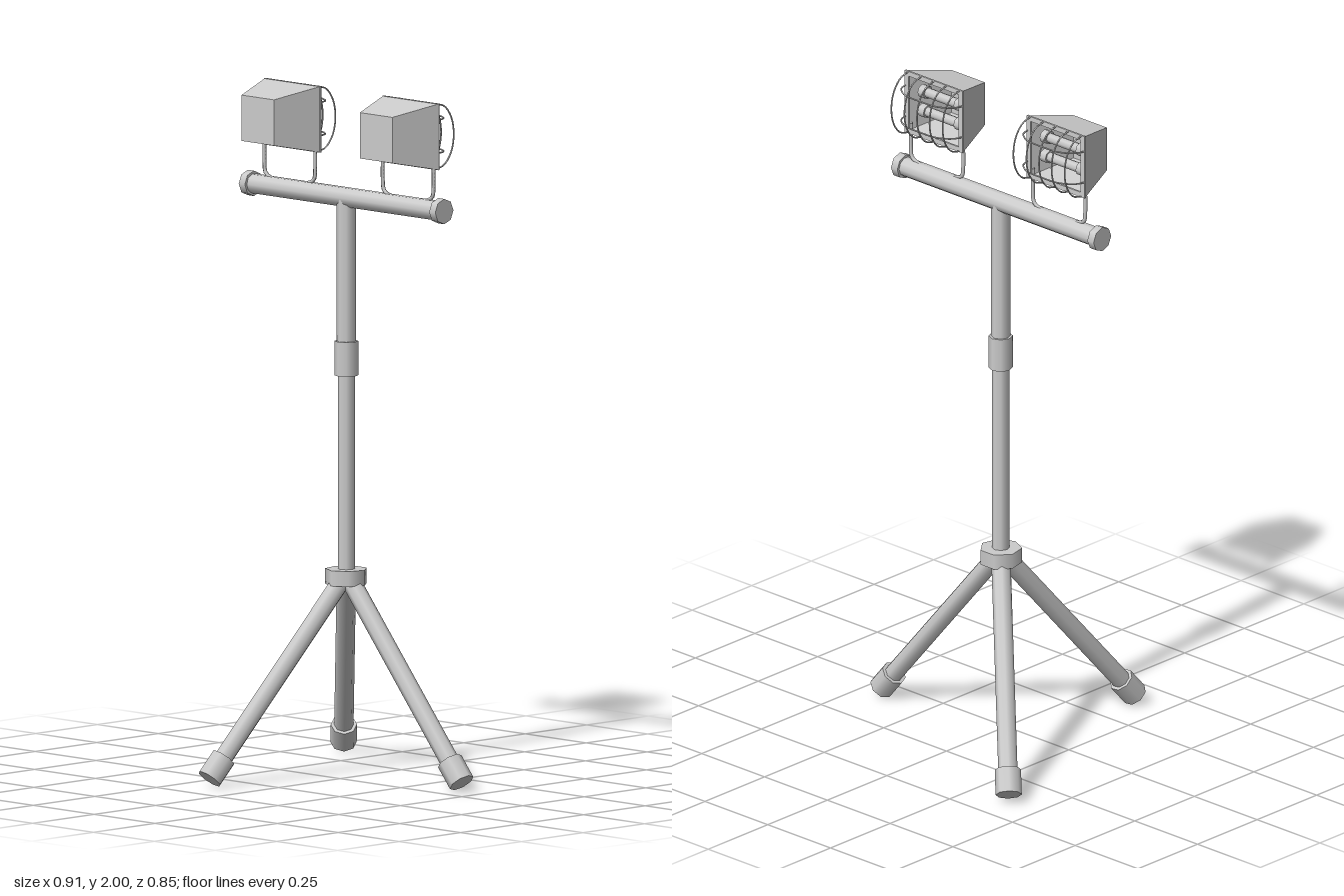
import * as THREE from 'three';

const material = new THREE.MeshStandardMaterial({ color: 0xcccccc, side: THREE.DoubleSide });
const V = (x, y, z) => new THREE.Vector3(x, y, z);

function add(parent, name, geometry) {
  const mesh = new THREE.Mesh(geometry, material);
  mesh.name = name;
  parent.add(mesh);
  return mesh;
}

// Low-sided round bar between two points
function rod(parent, name, a, b, radius, sides = 8) {
  const dir = b.clone().sub(a);
  const mesh = add(parent, name, new THREE.CylinderGeometry(radius, radius, dir.length(), sides));
  mesh.position.copy(a).add(b).multiplyScalar(0.5);
  mesh.quaternion.setFromUnitVectors(V(0, 1, 0), dir.normalize());
  return mesh;
}

// Thin bent wire through a few points
function wire(parent, name, points, radius, segments = 20) {
  const curve = new THREE.CatmullRomCurve3(points, false, 'centripetal');
  return add(parent, name, new THREE.TubeGeometry(curve, segments, radius, 5));
}

// Tapered lamp box, open at the back (-z)
function housingGeometry() {
  const g = new THREE.BoxGeometry(0.23, 0.194, 0.145);
  const p = g.attributes.position;
  for (let i = 0; i < p.count; i++) {
    if (p.getZ(i) > 0) p.setXY(i, p.getX(i) * 0.58, p.getY(i) * 0.69);
  }
  g.setIndex(Array.from(g.index.array).slice(0, 30));
  g.clearGroups();
  g.computeVertexNormals();
  return g;
}

function createLamp() {
  const lamp = new THREE.Group();
  lamp.name = 'lamp';
  add(lamp, 'housing', housingGeometry()).position.z = 0.0725;

  // Narrow frame around the opening
  const frame = new THREE.Shape([[-1, -1], [1, -1], [1, 1], [-1, 1]]
    .map(([x, y]) => new THREE.Vector2(x * 0.115, y * 0.097)));
  frame.holes.push(new THREE.Path([[-1, -1], [-1, 1], [1, 1], [1, -1]]
    .map(([x, y]) => new THREE.Vector2(x * 0.1, y * 0.082))));
  add(lamp, 'openingFrame', new THREE.ExtrudeGeometry(frame, { depth: 0.006, bevelEnabled: false }));

  // Two tubes with end sockets
  for (const y of [-0.03, 0.03]) {
    rod(lamp, 'bulb', V(-0.065, y, 0.04), V(0.065, y, 0.04), 0.015);
    for (const s of [-1, 1]) {
      rod(lamp, 'bulbSocket', V(s * 0.06, y, 0.04), V(s * 0.083, y, 0.04), 0.02);
    }
  }

  // Bulging wire guard
  for (const x of [-0.102, -0.05, 0, 0.05, 0.102]) {
    wire(lamp, 'guardUpright', [
      V(x, 0.095, 0), V(x, 0.085, -0.032), V(x, 0.05, -0.06), V(x, 0, -0.07),
      V(x, -0.05, -0.06), V(x, -0.085, -0.032), V(x, -0.095, 0)], 0.0025);
  }
  for (const y of [-0.047, 0.05]) {
    wire(lamp, 'guardCrosswire', [
      V(-0.113, y, 0), V(-0.105, y, -0.025), V(-0.065, y, -0.053), V(0, y, -0.058),
      V(0.065, y, -0.053), V(0.105, y, -0.025), V(0.113, y, 0)], 0.0025);
  }

  // U-shaped mounting bracket
  wire(lamp, 'bracket', [
    V(-0.104, -0.07, 0.015), V(-0.104, -0.15, 0.015), V(-0.1, -0.175, 0.015), V(-0.08, -0.187, 0.015),
    V(0.08, -0.187, 0.015), V(0.1, -0.175, 0.015), V(0.104, -0.15, 0.015), V(0.104, -0.07, 0.015)], 0.006, 40);
  return lamp;
}

export function createModel() {
  const model = new THREE.Group();
  model.name = 'tripodWorkLight';
  const cx = -0.05, cz = -0.075;
  const at = (y) => V(cx, y, cz);

  // Telescopic post
  rod(model, 'lowerPost', at(0.56), at(1.2), 0.025);
  rod(model, 'upperPost', at(1.2), at(1.69), 0.028);
  rod(model, 'postClamp', at(1.17), at(1.27), 0.035);
  rod(model, 'legHub', at(0.56), at(0.605), 0.062, 7);

  // Crossbar with end caps
  rod(model, 'crossbar', V(-0.45, 1.69, cz), V(0.345, 1.69, cz), 0.029, 10);
  for (const [a, b] of [[-0.455, -0.43], [0.327, 0.352]]) {
    rod(model, 'crossbarCap', V(a, 1.69, cz), V(b, 1.69, cz), 0.037);
  }

  // Three splayed legs with rubber feet
  for (const degrees of [0, 101.5, 223.7]) {
    const t = THREE.MathUtils.degToRad(degrees);
    const point = (r, y) => V(cx + r * Math.cos(t), y, cz + r * Math.sin(t));
    const top = point(0.01, 0.58), end = point(0.473, 0.029);
    rod(model, 'leg', top, end, 0.028);
    const footTop = end.clone().lerp(top, 0.105);
    rod(model, 'foot', footTop, end, 0.038);
  }

  // Pair of lamps, opening towards the back
  for (const x of [-0.283, 0.203]) {
    const lamp = createLamp();
    lamp.position.set(x, 1.903, -0.09);
    model.add(lamp);
  }
  return model;
}
